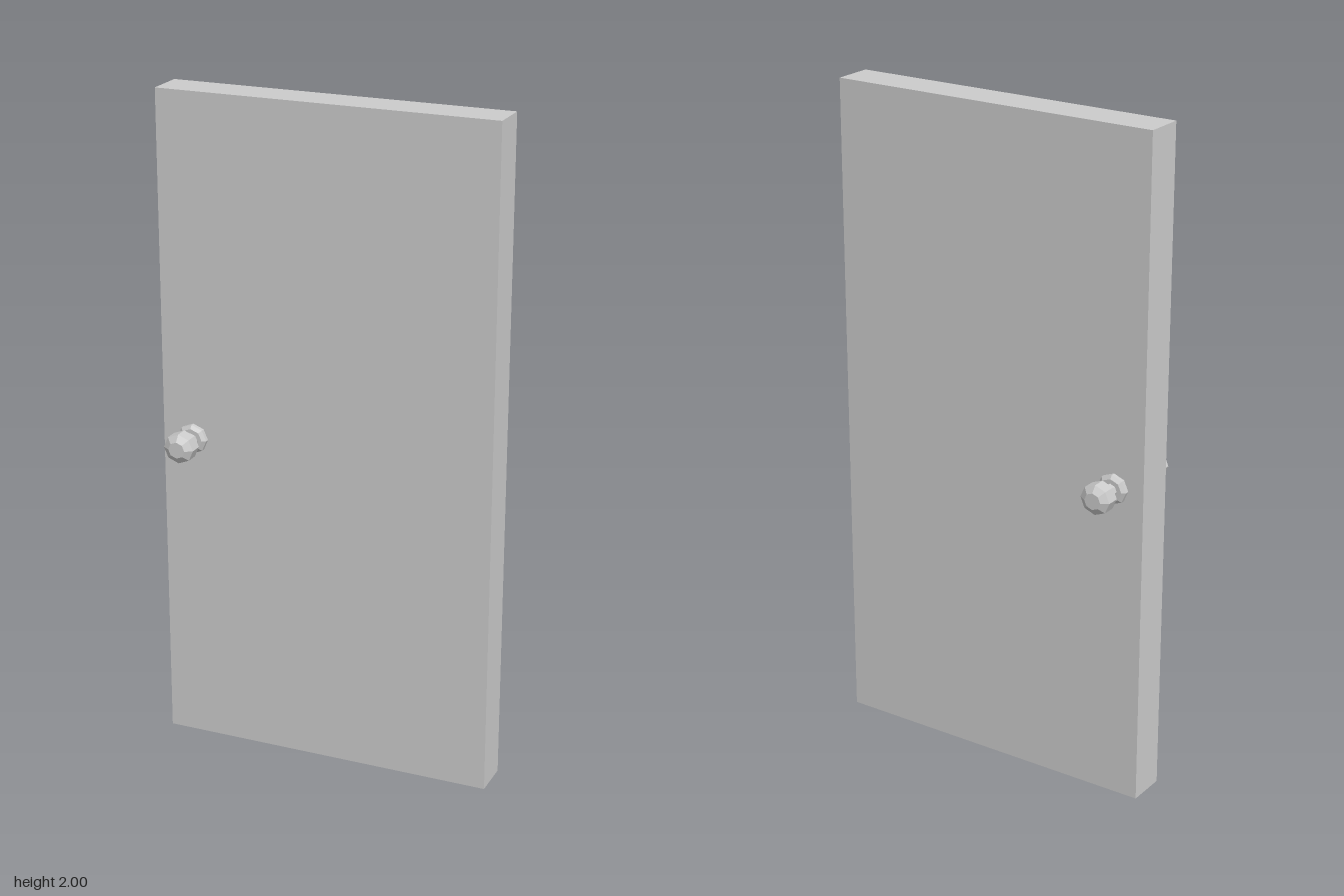
import * as THREE from 'three';

const material = new THREE.MeshStandardMaterial({ color: 0xcccccc, flatShading: true });

// Knob profile: [radius, distance from the door's mid-plane]
const knobProfile = [
  [0.047, 0.055], [0.047, 0.072], [0.036, 0.08],                 // rosette
  [0.022, 0.08], [0.022, 0.11],                                  // stem
  [0.029, 0.11], [0.047, 0.12], [0.047, 0.159], [0.026, 0.173],  // grip
  [0, 0.173],
].map(([r, d]) => new THREE.Vector2(r, d));

function createKnob(name, side) {
  const knob = new THREE.Mesh(new THREE.LatheGeometry(knobProfile, 8), material);
  knob.name = name;
  knob.rotation.x = side * Math.PI / 2;
  knob.scale.z = 0.95; // slightly wider than tall
  knob.position.set(-0.417, 0.966, 0);
  return knob;
}

export function createModel() {
  const door = new THREE.Group();
  door.name = 'door';

  // Plain slab
  const panel = new THREE.Mesh(new THREE.BoxGeometry(1.026, 2, 0.12), material);
  panel.name = 'doorPanel';
  panel.position.y = 1;

  // Matching knobs on both faces
  door.add(panel, createKnob('frontKnob', 1), createKnob('backKnob', -1));
  return door;
}
